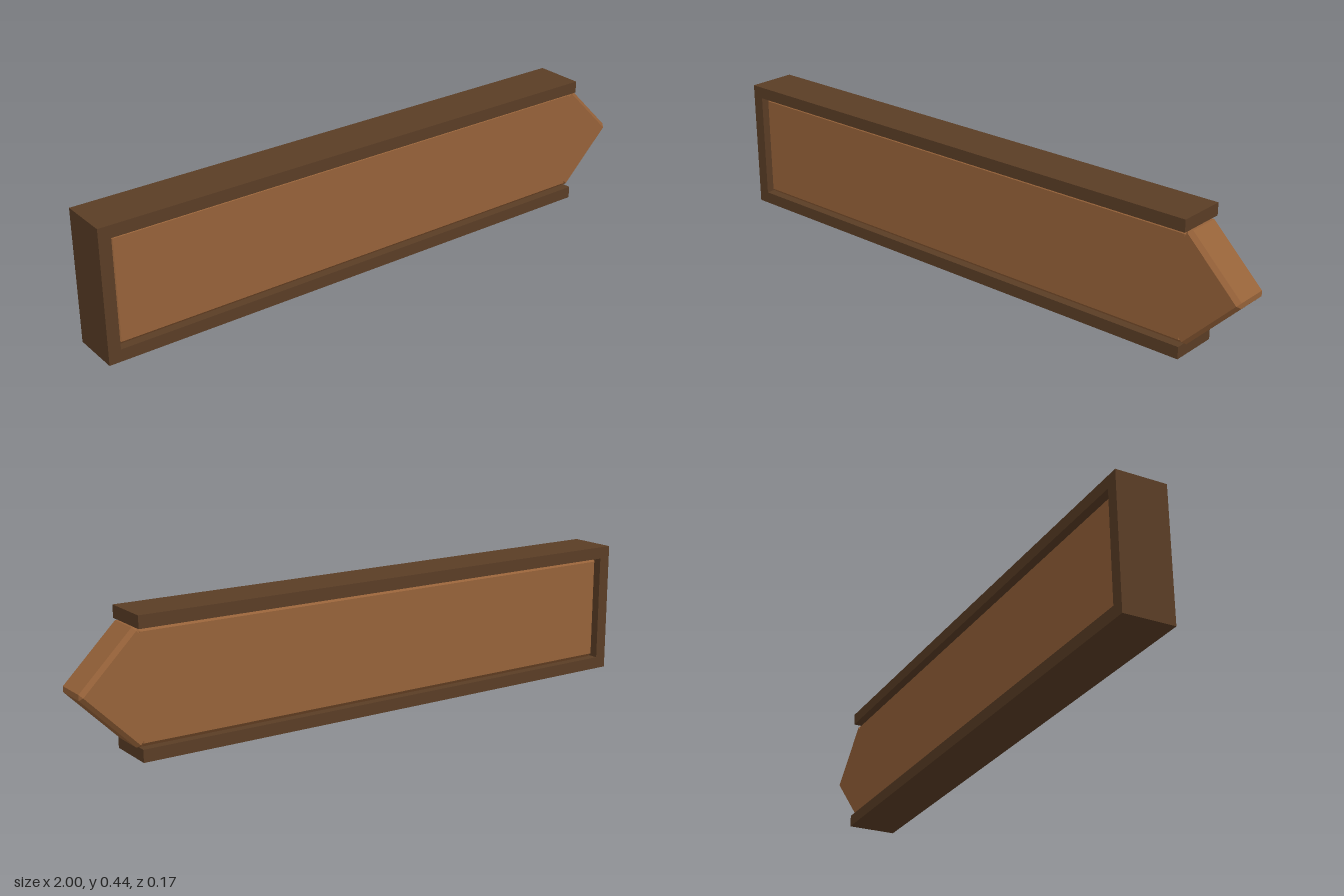
import * as THREE from 'three';
import { ConvexGeometry } from 'three/addons/geometries/ConvexGeometry.js';

// Box with 45-degree chamfers on every edge, as the hull of its 24 corners
function chamferedBox(width, height, depth, c) {
  const half = [width / 2, height / 2, depth / 2];
  const points = [];
  for (const sx of [-1, 1]) for (const sy of [-1, 1]) for (const sz of [-1, 1]) {
    for (let axis = 0; axis < 3; axis++) {
      const p = half.map((h, i) => (i === axis ? h : h - c));
      points.push(new THREE.Vector3(p[0] * sx, p[1] * sy, p[2] * sz));
    }
  }
  return new ConvexGeometry(points);
}

export function createModel() {
  const group = new THREE.Group();
  const darkWood = new THREE.MeshStandardMaterial({ color: 0x5a3d25, flatShading: true });
  const lightWood = new THREE.MeshStandardMaterial({ color: 0x966239, flatShading: true });

  const add = (name, geometry, material, x, y, z) => {
    const mesh = new THREE.Mesh(geometry, material);
    mesh.name = name;
    mesh.position.set(x, y, z);
    group.add(mesh);
    return mesh;
  };

  const height = 0.438, depth = 0.166, rail = 0.04, frameEnd = 0.822;
  const midY = height / 2, bevel = 0.0125, boardDepth = 0.132;

  // Frame: three sides, open towards the arrow tip
  const outline = new THREE.Shape([
    [-1, 0], [frameEnd, 0], [frameEnd, rail], [-1 + rail, rail],
    [-1 + rail, height - rail], [frameEnd, height - rail], [frameEnd, height], [-1, height],
  ].map(([x, y]) => new THREE.Vector2(x, y)));
  add('frame', new THREE.ExtrudeGeometry(outline, { depth, bevelEnabled: false }),
    darkWood, 0, 0, -depth / 2);

  // Board held between the rails
  const left = -1 + rail, right = 0.822;
  add('board', chamferedBox(right - left, height - 2 * rail, boardDepth, bevel),
    lightWood, (left + right) / 2, midY, 0);

  // Arrow tip: a square block turned on its corner
  const side = 0.188 * Math.SQRT2;
  const tip = add('arrowTip', chamferedBox(side, side, boardDepth, bevel),
    lightWood, 0.821, midY, 0);
  tip.rotation.z = Math.PI / 4;

  return group;
}
